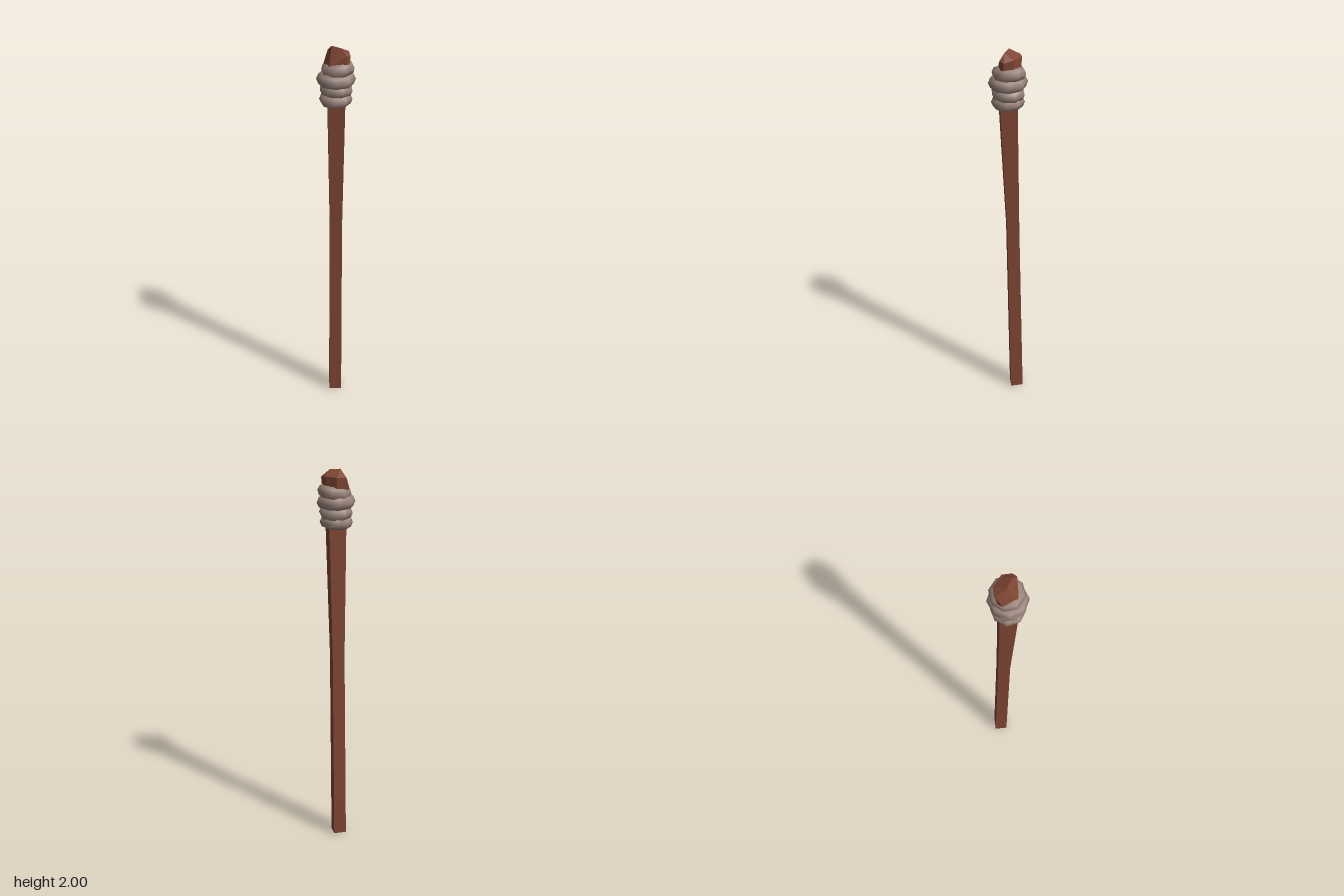
import * as THREE from 'three';
import { ConvexGeometry } from 'three/addons/geometries/ConvexGeometry.js';

const wood = new THREE.MeshStandardMaterial({ color: 0x804634 });
wood.name = 'redBrownWood';
const cloth = new THREE.MeshStandardMaterial({ color: 0x988279 });
cloth.name = 'greyBrownCloth';

function add(group, name, geometry, material) {
  const mesh = new THREE.Mesh(geometry, material);
  mesh.name = name;
  group.add(mesh);
  return mesh;
}

// Square shaft lofted through slightly turned sections: [y, centre x, centre z, half size]
function shaftGeometry() {
  const sections = [
    [0, 0.002, -0.046, 0.033],
    [1.05, 0.002, -0.022, 0.031],
    [1.72, 0, 0.002, 0.042],
    [1.9, 0, 0.004, 0.043],
  ];
  const turn = 0.13, c = Math.cos(turn), s = Math.sin(turn);
  const corners = [[-1, 1], [1, 1], [1, -1], [-1, -1]];
  const rings = sections.map(([y, cx, cz, h]) => corners.map(([u, v]) =>
    [cx + h * (u * c - v * s), y + (y === 0 ? 0.003 * (1 - v) : 0), cz + h * (u * s + v * c)]));
  const pos = [];
  const quad = (a, b, d, e) => pos.push(...a, ...b, ...d, ...a, ...d, ...e);
  for (let i = 0; i < rings.length - 1; i++) {
    for (let j = 0; j < 4; j++) {
      const k = (j + 1) % 4;
      quad(rings[i][j], rings[i][k], rings[i + 1][k], rings[i + 1][j]);
    }
  }
  const b = rings[0], t = rings[rings.length - 1];
  quad(b[3], b[2], b[1], b[0]);
  quad(t[0], t[1], t[2], t[3]);
  const g = new THREE.BufferGeometry();
  g.setAttribute('position', new THREE.Float32BufferAttribute(pos, 3));
  g.computeVertexNormals();
  return g;
}

export function createModel() {
  const model = new THREE.Group();
  model.name = 'torch';

  add(model, 'shaft', shaftGeometry(), wood);

  // Rough, chipped wooden tip
  const tip = [
    [-0.02, 2.0, -0.008], [0.022, 1.995, 0.025],
    [0.063, 1.97, -0.01], [0.062, 1.96, 0.038], [0.04, 1.965, 0.053],
    [0.018, 1.97, -0.06], [-0.03, 1.965, -0.064],
    [-0.055, 1.91, -0.035], [-0.045, 1.91, 0.02], [-0.042, 1.905, 0.04],
    [0.055, 1.86, -0.01], [0.05, 1.86, 0.045], [-0.045, 1.86, 0.04],
    [-0.045, 1.86, -0.045], [0.02, 1.86, -0.055],
  ].map((p) => new THREE.Vector3(...p));
  add(model, 'tip', new ConvexGeometry(tip), wood);

  // Cloth wraps: [y, x, z, outer radius, tube radius, turn, tilt about z, tilt about x]
  const wraps = [
    [1.742, -0.002, 0.002, 0.081, 0.031, 0.3, 0.05, 0.03],
    [1.79, 0, 0.002, 0.083, 0.031, 0.55, -0.04, -0.04],
    [1.842, -0.001, 0.002, 0.095, 0.034, 0.18, 0.0, 0.04],
    [1.89, 0.008, 0, 0.083, 0.033, 0.45, 0.12, -0.03],
  ];
  const wrapGroup = new THREE.Group();
  wrapGroup.name = 'clothWraps';
  wraps.forEach(([y, x, z, outer, tube, turn, tiltZ, tiltX], i) => {
    const g = new THREE.TorusGeometry(outer - tube, tube, 8, 8);
    g.rotateX(Math.PI / 2).rotateY(-turn).rotateZ(tiltZ).rotateX(tiltX);
    add(wrapGroup, 'clothWrap' + (i + 1), g, cloth).position.set(x, y, z);
  });
  model.add(wrapGroup);

  return model;
}
